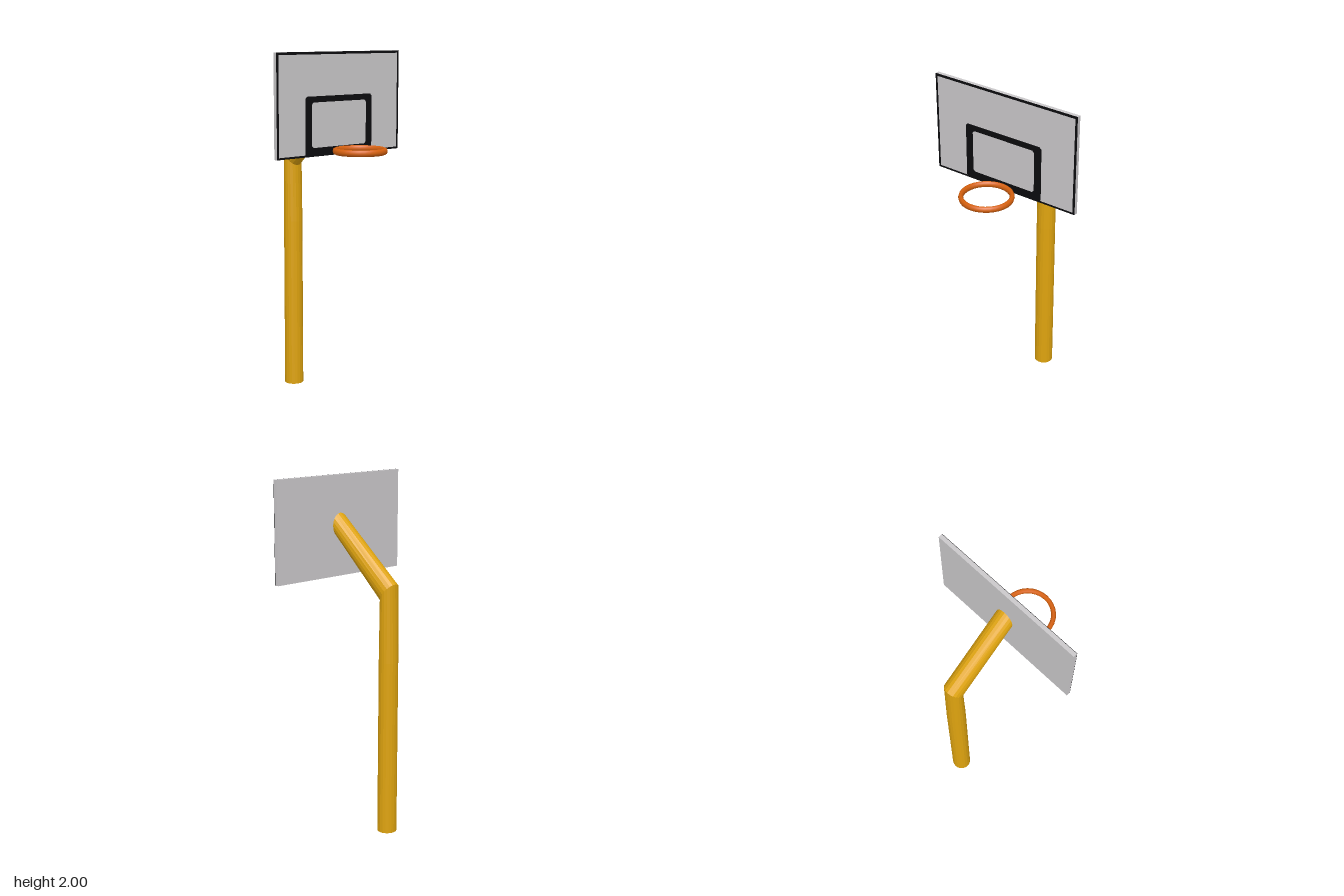
import * as THREE from 'three';

const material = (name, color) => {
  const m = new THREE.MeshStandardMaterial({ color });
  m.name = name;
  return m;
};

// Tube through slanted oval rings, each given by its back and front edge [xBack, yBack, xFront, yFront]
function ringTube(rings, halfDepth, sides) {
  const pos = [], index = [];
  for (const [x0, y0, x1, y1] of rings) {
    for (let i = 0; i < sides; i++) {
      const a = (i / sides) * Math.PI * 2, t = (1 - Math.cos(a)) / 2;
      pos.push(x0 + (x1 - x0) * t, y0 + (y1 - y0) * t, halfDepth * Math.sin(a));
    }
  }
  for (let r = 0; r < rings.length - 1; r++) {
    for (let i = 0; i < sides; i++) {
      const a = r * sides + i, b = r * sides + ((i + 1) % sides);
      index.push(a, b, b + sides, a, b + sides, a + sides);
    }
  }
  // end caps
  const last = (rings.length - 1) * sides;
  for (let i = 1; i < sides - 1; i++) {
    index.push(0, i + 1, i, last, last + i, last + i + 1);
  }
  const geo = new THREE.BufferGeometry();
  geo.setAttribute('position', new THREE.Float32BufferAttribute(pos, 3));
  geo.setIndex(index);
  const flat = geo.toNonIndexed();
  flat.computeVertexNormals();
  return flat;
}

// Rectangle outline with cut corners, in (z, y)
function cutRect(target, z0, z1, y0, y1, cut) {
  const pts = [
    [z0 + cut, y0], [z1 - cut, y0], [z1, y0 + cut], [z1, y1 - cut],
    [z1 - cut, y1], [z0 + cut, y1], [z0, y1 - cut], [z0, y0 + cut],
  ];
  return target.setFromPoints(pts.map(([z, y]) => new THREE.Vector2(-z, y)));
}

// Thin painted frame facing +x
function frame(outer, inner, cut) {
  const shape = cutRect(new THREE.Shape(), ...outer, cut);
  shape.holes.push(cutRect(new THREE.Path(), ...inner, cut));
  const geo = new THREE.ExtrudeGeometry(shape, { depth: 0.002, bevelEnabled: false });
  return geo.rotateY(Math.PI / 2);
}

export function createModel() {
  const yellow = material('polePaint', 0xdea30f);
  const grey = material('boardGrey', 0xcac8ca);
  const black = material('blackPaint', 0x0c0c0e);
  const orange = material('rimOrange', 0xd8620f);

  const group = new THREE.Group();
  group.name = 'basketballHoop';
  const add = (name, geo, mat, x = 0, y = 0, z = 0) => {
    const mesh = new THREE.Mesh(geo, mat);
    mesh.name = name;
    mesh.position.set(x, y, z);
    group.add(mesh);
    return mesh;
  };

  // Upright and slanted arm, joined at a mitred bend
  const bend = [-0.38, 1.44, -0.29, 1.335];
  add('pole', ringTube([[-0.39, 0, -0.28, 0], [-0.388, 1, -0.282, 1], bend], 0.056, 20), yellow);
  add('arm', ringTube([bend, [0.053, 1.787, 0.053, 1.648]], 0.056, 20), yellow);

  // Backboard
  const front = 0.0755;
  add('backboard', new THREE.BoxGeometry(front - 0.053, 0.57, 0.92), grey, (front + 0.053) / 2, 1.715);
  add('boardBorder', frame([-0.46, 0.46, 1.43, 2], [-0.447, 0.447, 1.441, 1.986], 0.001), black, front);
  add('targetSquare', frame([-0.242, 0.258, 1.432, 1.76], [-0.197, 0.212, 1.478, 1.727], 0.012), black, front);

  // Rim, slightly taller than wide in section
  const ring = new THREE.TorusGeometry(0.1385, 0.0135, 8, 32);
  ring.scale(1, 1, 1.36).rotateX(Math.PI / 2);
  add('rim', ring, orange, 0.237, 1.46, 0);

  return group;
}
